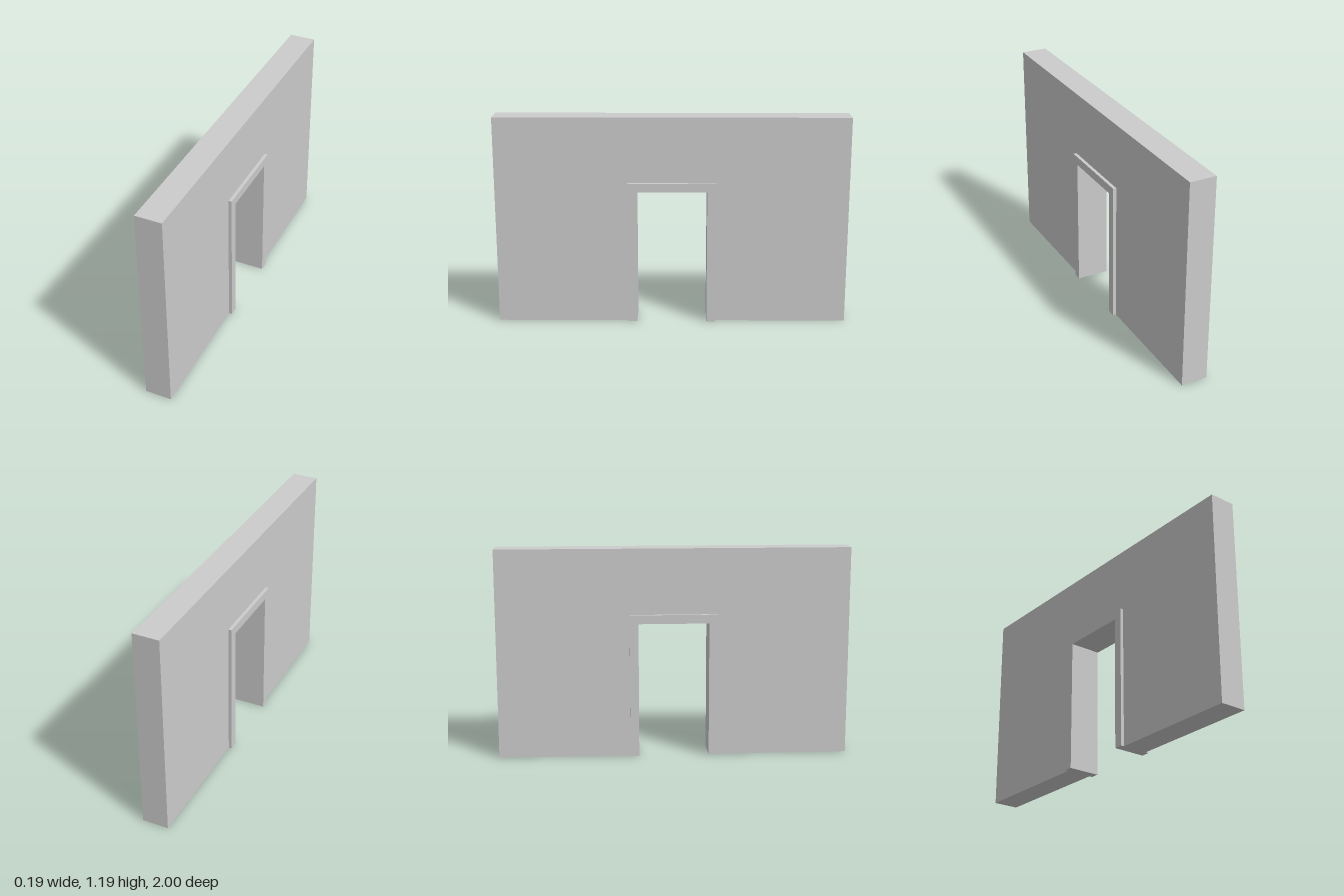
import * as THREE from 'three';

const OPEN_HALF = 0.2, OPEN_TOP = 0.77;   // doorway
const WALL_HALF = 0.075, TRIM_OUT = 0.094; // half thickness of wall, outer face of trim

// Upside-down U around the doorway, extruded along x from x0 to x1
function portal(halfWidth, height, x0, x1) {
  const shape = new THREE.Shape([
    [-halfWidth, 0], [-OPEN_HALF, 0], [-OPEN_HALF, OPEN_TOP], [OPEN_HALF, OPEN_TOP],
    [OPEN_HALF, 0], [halfWidth, 0], [halfWidth, height], [-halfWidth, height],
  ].map(([x, y]) => new THREE.Vector2(x, y)));
  const geometry = new THREE.ExtrudeGeometry(shape, { depth: x1 - x0, bevelEnabled: false });
  geometry.rotateY(Math.PI / 2);
  geometry.translate(x0, 0, 0);
  return geometry;
}

export function createModel() {
  const group = new THREE.Group();
  group.name = 'wallWithDoorway';
  const plaster = new THREE.MeshStandardMaterial({ color: 0xcccccc });
  plaster.name = 'light grey';

  const add = (name, geometry) => {
    const mesh = new THREE.Mesh(geometry, plaster);
    mesh.name = name;
    group.add(mesh);
  };

  // Wall slab with the doorway cut through
  add('wall', portal(1, 1.193, -WALL_HALF, WALL_HALF));

  // Raised door trim on both faces
  add('leftDoorTrim', portal(0.25, 0.82, WALL_HALF, TRIM_OUT));
  add('rightDoorTrim', portal(0.25, 0.82, -TRIM_OUT, -WALL_HALF));

  return group;
}
